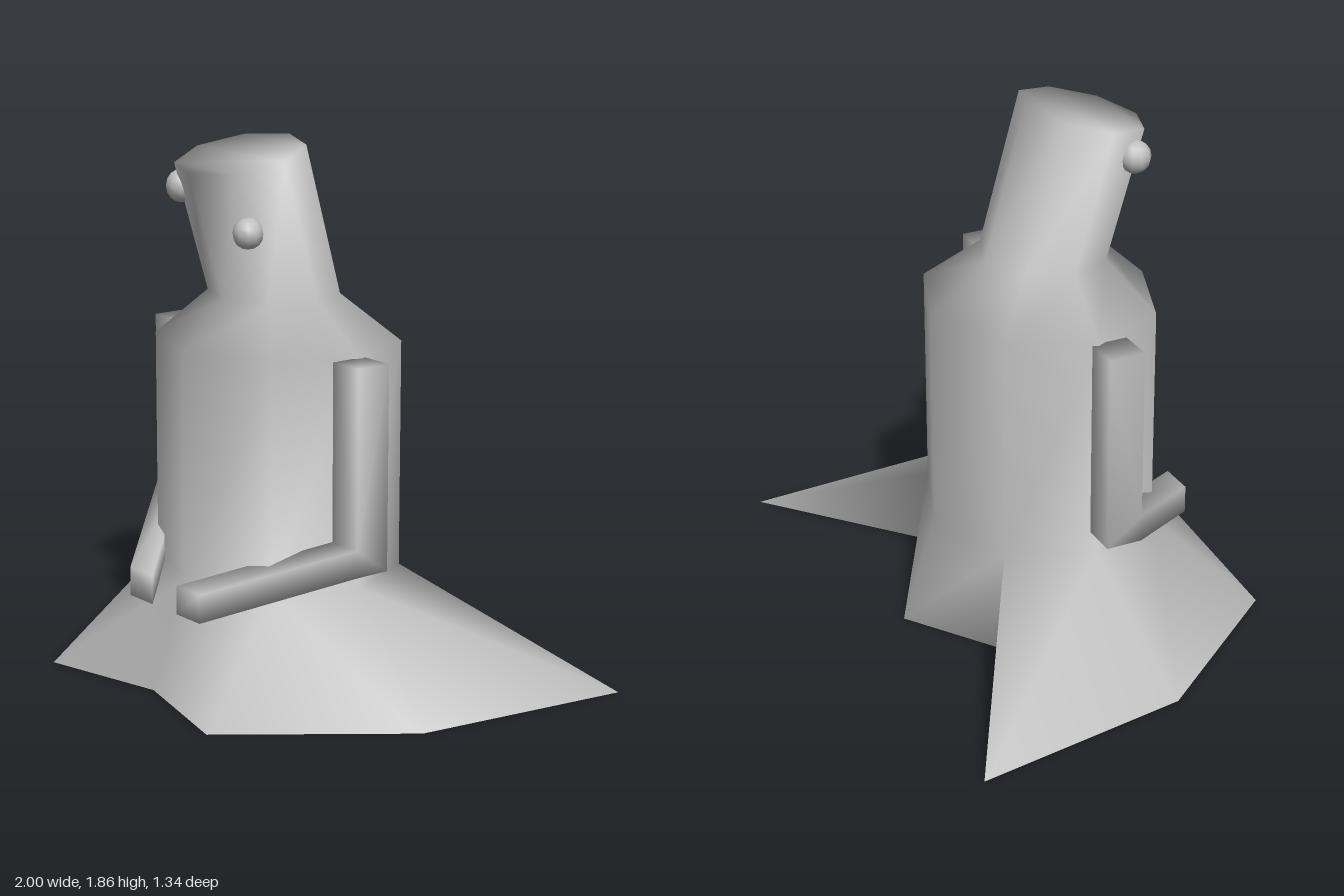
import * as THREE from 'three';

const grey = new THREE.MeshStandardMaterial({ color: 0xbfbfbf, side: THREE.DoubleSide });
grey.name = 'grey';

function smoothMesh(name, points, faces) {
  const g = new THREE.BufferGeometry();
  g.setAttribute('position', new THREE.Float32BufferAttribute(points.flat(), 3));
  g.setIndex(faces.flat());
  g.computeVertexNormals();
  const mesh = new THREE.Mesh(g, grey);
  mesh.name = name;
  return mesh;
}

// Eight-sided body, tilted head and flared hem as one smooth surface
function makeBody() {
  const N = 8, points = [], faces = [];
  // y, centre z, x radius, z radius, forward drop
  const rings = [
    [0.37, 0.02, 0.45, 0.405, 0],
    [1.165, 0.02, 0.45, 0.405, 0],
    [1.325, 0.037, 0.24, 0.218, 0],
    [1.81, 0.18, 0.24, 0.21, 0.05],
  ];
  for (const [y, cz, rx, rz, drop] of rings) {
    for (let i = 0; i < N; i++) {
      const a = (i / N) * Math.PI * 2;
      points.push([rx * Math.sin(a), y - drop * Math.cos(a), cz + rz * Math.cos(a)]);
    }
  }
  for (let r = 0; r < rings.length - 1; r++) {
    for (let i = 0; i < N; i++) {
      const j = (i + 1) % N, a = r * N, b = a + N;
      faces.push([a + i, a + j, b + j], [a + i, b + j, b + i]);
    }
  }
  // Flat top of the head, in rows from front to back
  const t = 3 * N;
  faces.push([t, t + 1, t + 7], [t + 3, t + 4, t + 5]);
  for (const i of [1, 2]) {
    faces.push([t + 8 - i, t + i, t + i + 1], [t + 8 - i, t + i + 1, t + 7 - i]);
  }
  // Hem: front, front corner, side, wing tip, notch, back, then mirrored
  const half = [[0, 0.56], [0.45, 0.67], [0.88, 0.11], [1, -0.67], [0.45, -0.2], [0, -0.51]];
  const h = points.length;
  for (const [x, z] of half) points.push([x, 0, z]);
  for (let i = 4; i > 0; i--) points.push([-half[i][0], 0, half[i][1]]);
  const u = (i) => i, b = (i) => h + i;
  const mu = (i) => (8 - i) % 8, mb = (i) => h + ((10 - i) % 10);
  const skirt = (U, B) => [
    [U(0), B(0), B(1)], [U(0), B(1), U(1)], [U(1), B(1), B(2)],
    [U(1), B(2), U(2)], [U(2), B(2), B(3)], [U(2), B(3), U(3)],
    [U(3), B(3), B(4)], [U(3), B(4), B(5)], [U(3), B(5), U(4)],
  ];
  faces.push(...skirt(u, b), ...skirt(mu, mb).map((f) => f.reverse()));
  return smoothMesh('body', points, faces);
}

// Square arm: straight upper arm, forearm sheared forward and inward
function makeArm(side) {
  const inner = 0.435, outer = 0.565;
  const sections = [
    [inner, outer, 1.165, 1.165, 0, 0.13],   // shoulder
    [inner, outer, 0.455, 0.55, 0, 0.13],    // elbow, mitred
    [0.07, 0.2, 0.28, 0.38, 0.51, 0.51],     // hand
  ];
  const points = [];
  for (const [x0, x1, yBack, yFront, zBack, zFront] of sections) {
    points.push([x0, yBack, zBack], [x1, yBack, zBack], [x1, yFront, zFront], [x0, yFront, zFront]);
  }
  // Lower front corners of the elbow
  points.push([inner, 0.455, 0.13], [outer, 0.455, 0.13]);
  const quads = [
    [0, 3, 2, 1],                                // shoulder top
    [0, 1, 5, 4], [3, 7, 6, 2],                  // upper arm back and front
    [8, 9, 10, 11],                              // hand end
    [4, 5, 13, 12], [12, 13, 9, 8],              // elbow and forearm underside
    [7, 11, 10, 6], [6, 10, 9, 13], [7, 12, 8, 11],
  ];
  const faces = [];
  for (const [a, b, c, d] of quads) faces.push([a, b, c], [a, c, d]);
  // Upper arm sides, with the extra elbow corner
  faces.push([1, 2, 6], [1, 6, 5], [5, 6, 13], [0, 7, 3], [0, 4, 7], [4, 12, 7]);
  for (const p of points) p[0] *= side;
  if (side < 0) faces.forEach((f) => f.reverse());
  return smoothMesh(side > 0 ? 'leftArm' : 'rightArm', points, faces);
}

function makeEye(name, x, y, z, r) {
  const eye = new THREE.Mesh(new THREE.SphereGeometry(r, 10, 8), grey);
  eye.name = name;
  eye.position.set(x, y, z);
  return eye;
}

export function createModel() {
  const model = new THREE.Group();
  model.name = 'robedFigure';
  model.add(makeBody(), makeArm(1), makeArm(-1));
  // Eyes sit at uneven heights
  model.add(makeEye('leftEye', 0.18, 1.575, 0.285, 0.053));
  model.add(makeEye('rightEye', -0.185, 1.69, 0.285, 0.057));
  return model;
}
